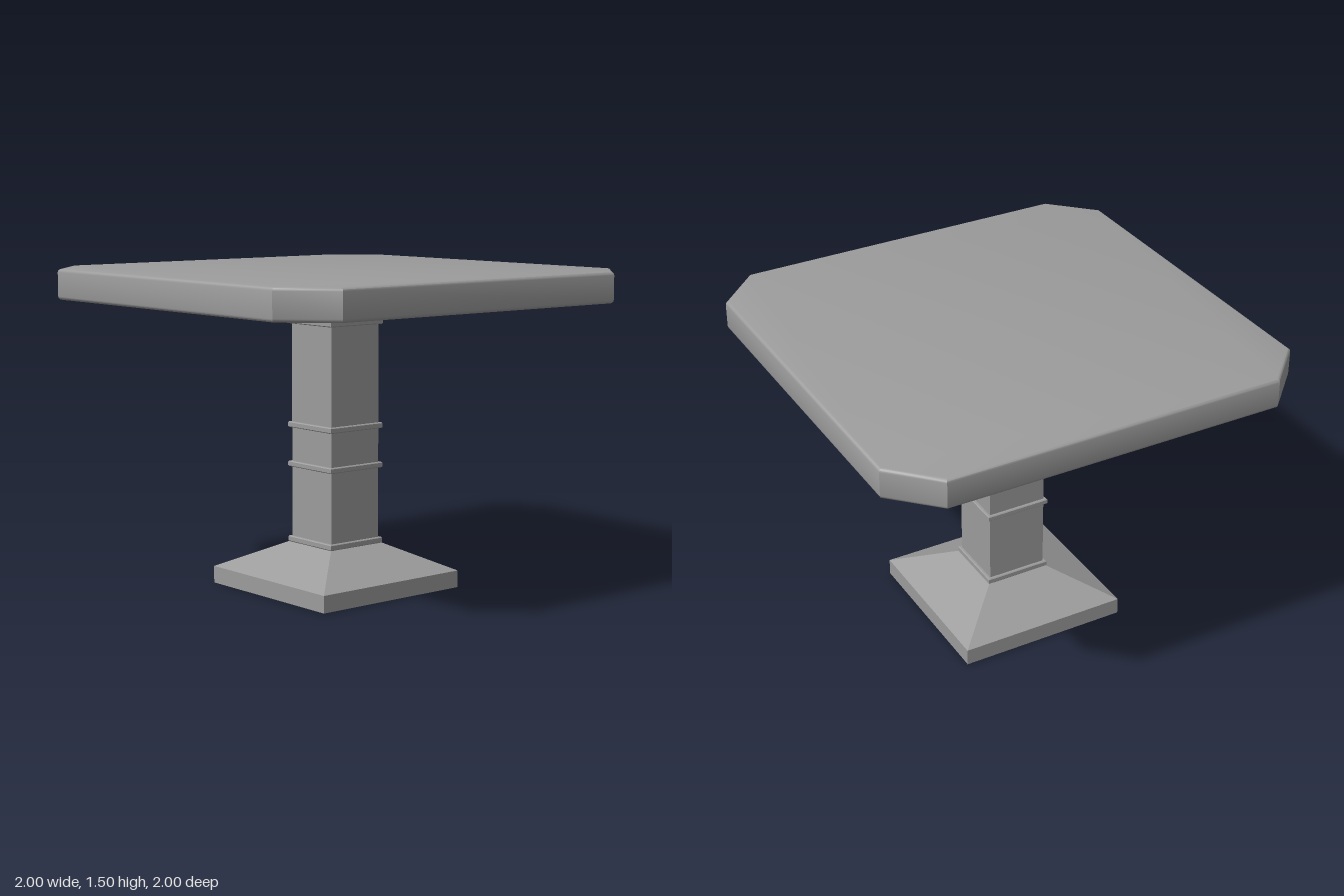
import * as THREE from 'three';
import { toCreasedNormals } from 'three/addons/utils/BufferGeometryUtils.js';

const material = new THREE.MeshStandardMaterial({ color: 0x9c9c9c, side: THREE.DoubleSide });

function makePart(name, geometry, crease) {
  const mesh = new THREE.Mesh(toCreasedNormals(geometry, crease), material);
  mesh.name = name;
  return mesh;
}

// Open square shell from a profile of [half width, height] points, bottom to top
function squareShell(name, profile) {
  const points = profile.map(([half, y]) => new THREE.Vector2(half * Math.SQRT2, y));
  return makePart(name, new THREE.LatheGeometry(points, 4, Math.PI / 4), 0.3);
}

// Raised moulding around the column, with softened edges
function band(y0, y1, half = 0.143, out = 0.157, soft = 0.004) {
  return [[half, y0], [out - soft, y0], [out, y0 + soft], [out, y1 - soft], [out - soft, y1], [half, y1]];
}

export function createModel() {
  const group = new THREE.Group();
  group.name = 'pedestalTable';

  // Hollow foot, open underneath
  group.add(squareShell('base', [[0.409, 0], [0.409, 0.08], [0.157, 0.207], [0.143, 0.207]]));

  // Hollow square column with four bands
  const bands = [[0.207, 0.235], [0.567, 0.593], [0.753, 0.78], [1.241, 1.268]];
  group.add(squareShell('column', bands.flatMap(([y0, y1]) => band(y0, y1))));

  // Flared support under the top
  group.add(squareShell('flare', [[0.143, 1.268], [0.157, 1.27], [0.29, 1.314], [0.48, 1.354]]));

  // Square top with cut corners and a small rounded edge
  const c = 0.8, bevel = 0.016, bottom = 1.353, top = 1.496;
  const outline = new THREE.Shape(
    [[c, -1], [1, -c], [1, c], [c, 1], [-c, 1], [-1, c], [-1, -c], [-c, -1]]
      .map(([x, y]) => new THREE.Vector2(x, y)));
  const slab = new THREE.ExtrudeGeometry(outline, {
    depth: top - bottom - 2 * bevel,
    bevelThickness: bevel, bevelSize: bevel, bevelOffset: -bevel, bevelSegments: 3,
  });
  slab.rotateX(-Math.PI / 2).translate(0, bottom + bevel, 0);
  group.add(makePart('tabletop', slab, 0.6));

  return group;
}
